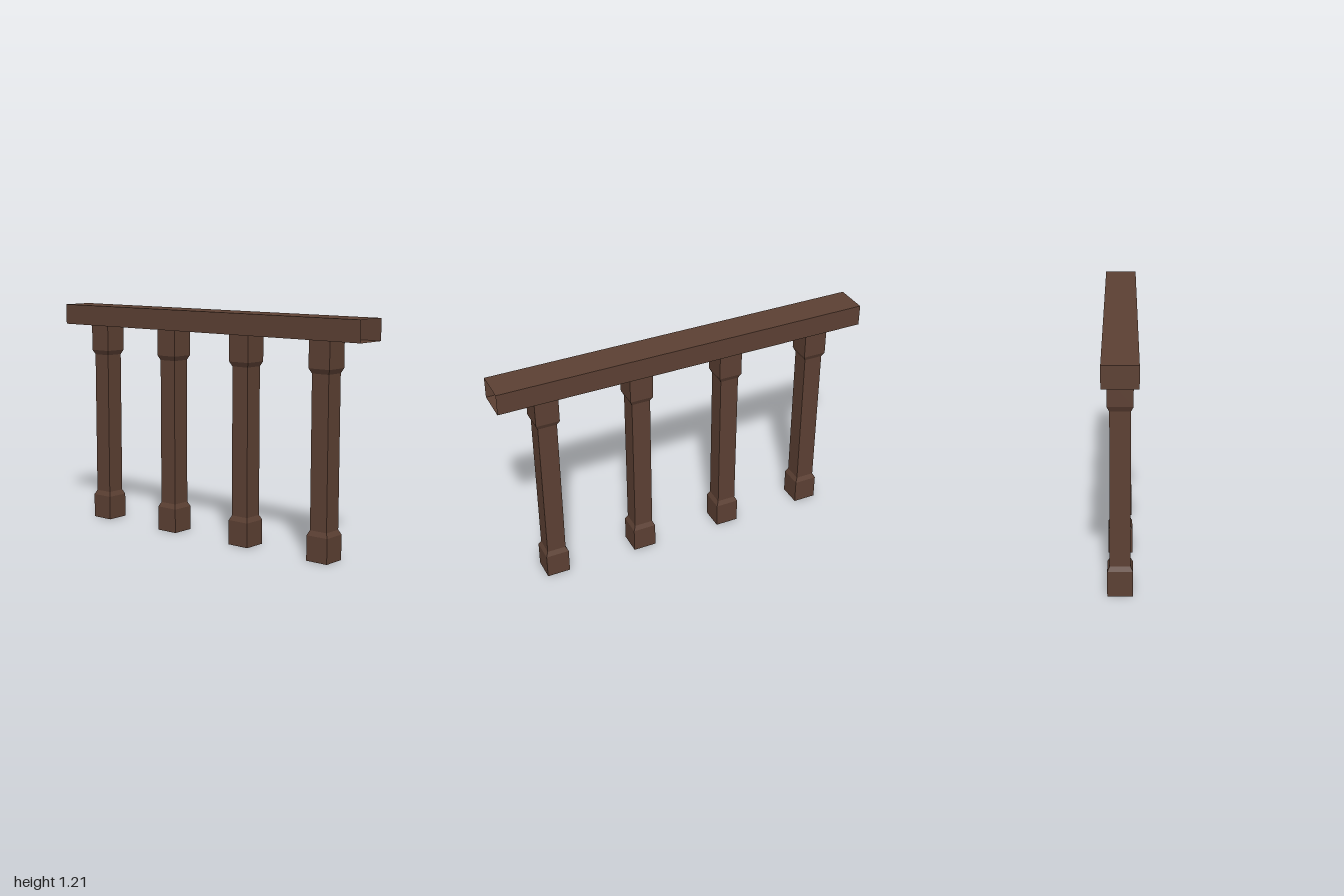
import * as THREE from 'three';

const wood = new THREE.MeshStandardMaterial({
  name: 'dark brown wood', color: 0x5c4033, flatShading: true, side: THREE.DoubleSide,
});

// Square hollow post, open at the foot: [half width, height] profile swept over four sides
function postGeometry() {
  const profile = [[0.062, 0], [0.062, 0.13], [0.05, 0.155], [0.05, 0.935], [0.062, 0.96], [0.062, 1.1]];
  const points = profile.map(([half, y]) => new THREE.Vector2(half * Math.SQRT2, y));
  return new THREE.LatheGeometry(points, 4, Math.PI / 4);
}

// Hollow handrail: a box without its front (+z) end
function railGeometry() {
  const geometry = new THREE.BoxGeometry(0.173, 0.11, 2);
  const index = Array.from(geometry.index.array);
  index.splice(24, 6);
  geometry.setIndex(index);
  geometry.clearGroups();
  return geometry;
}

export function createModel() {
  const group = new THREE.Group();
  group.name = 'railing';

  const rail = new THREE.Mesh(railGeometry(), wood);
  rail.name = 'handrail';
  rail.position.y = 1.155;
  group.add(rail);

  // Four evenly spaced posts
  const geometry = postGeometry();
  for (let i = 0; i < 4; i++) {
    const post = new THREE.Mesh(geometry, wood);
    post.name = `post${i + 1}`;
    post.position.z = 0.747 - i * 0.501;
    group.add(post);
  }
  return group;
}
